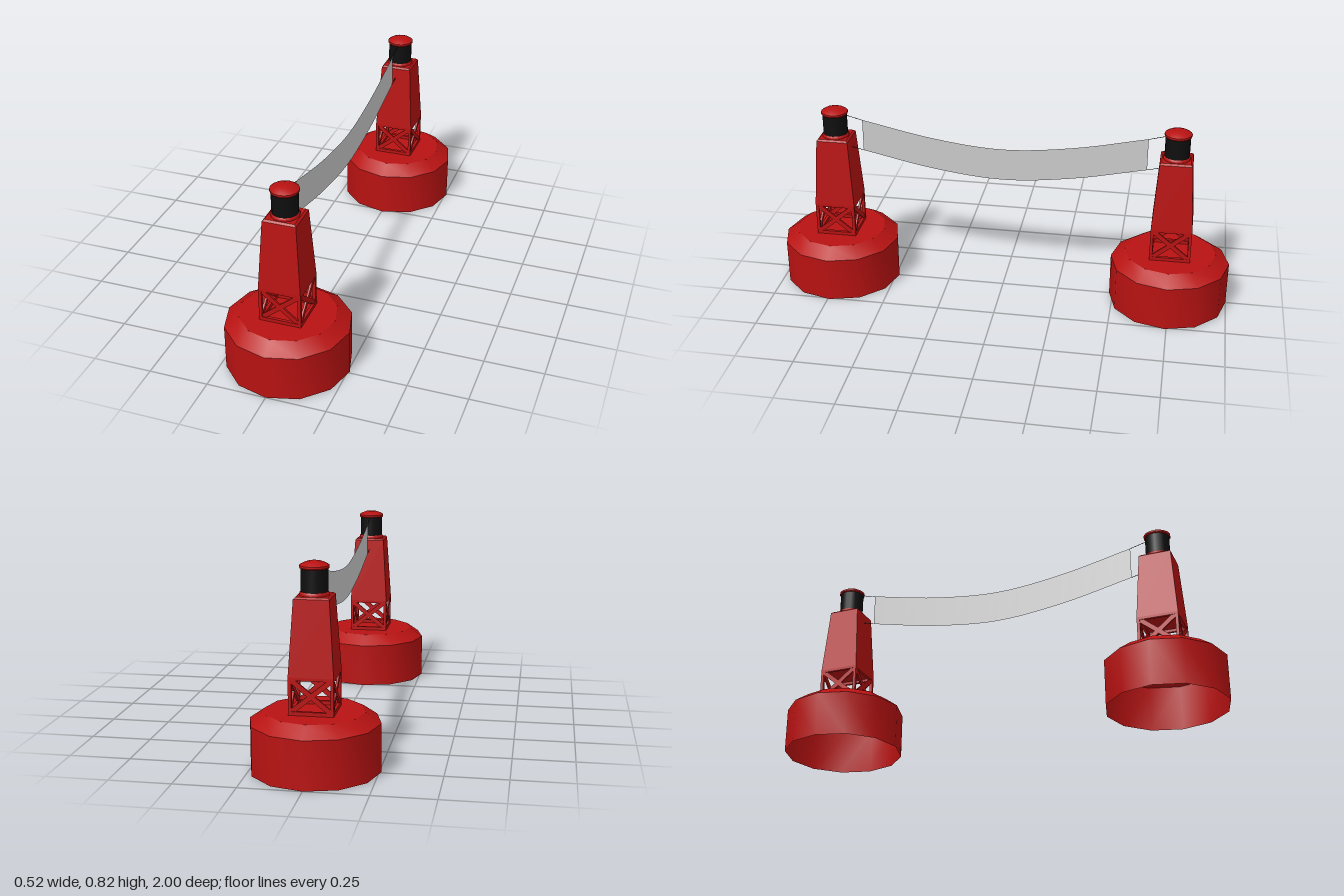
import * as THREE from 'three';
import { toCreasedNormals } from 'three/addons/utils/BufferGeometryUtils.js';

const red = new THREE.MeshStandardMaterial({ color: 0xb81212, side: THREE.DoubleSide });
const redFlat = new THREE.MeshStandardMaterial({ color: 0xb81212, flatShading: true });
const black = new THREE.MeshStandardMaterial({ color: 0x0e0e0e });
const grey = new THREE.MeshStandardMaterial({ color: 0xcccccc, side: THREE.DoubleSide });

function add(parent, name, geometry, material) {
  const mesh = new THREE.Mesh(geometry, material);
  mesh.name = name;
  parent.add(mesh);
  return mesh;
}

// Turned part: smooth around, sharp between profile segments
function turned(points, sides) {
  const profile = points.map(([r, y]) => new THREE.Vector2(r, y));
  return toCreasedNormals(new THREE.LatheGeometry(profile, sides), 0.6);
}

// Square frustum given by half widths and heights
function squareFrustum(bottom, top, y0, y1) {
  const g = new THREE.CylinderGeometry(top * Math.SQRT2, bottom * Math.SQRT2, y1 - y0, 4);
  return g.rotateY(Math.PI / 4).translate(0, (y0 + y1) / 2, 0);
}

function box(w, h, d, x, y, z) {
  return new THREE.BoxGeometry(w, h, d).translate(x, y, z);
}

function createBuoy() {
  const buoy = new THREE.Group();
  buoy.name = 'buoy';

  // Float, open underneath
  add(buoy, 'float', turned([[0.258, 0], [0.258, 0.195], [0.198, 0.237], [0, 0.237]], 12), red);

  // Open lattice: four identical sides
  const half = 0.088, post = 0.013, y0 = 0.237, y1 = 0.385;
  const inner = half - post, mid = 0.312, rise = 0.061;
  for (let i = 0; i < 4; i++) {
    const side = new THREE.Group();
    side.name = 'latticeSide';
    side.rotation.y = i * Math.PI / 2;
    const z = half - post / 2;
    add(side, 'post', box(post, y1 - y0, post, half - post / 2, (y0 + y1) / 2, z), redFlat);
    add(side, 'bottomRail', box(2 * inner, 0.015, post, 0, 0.2445, z), redFlat);
    add(side, 'topRail', box(2 * inner, 0.012, post, 0, 0.379, z), redFlat);
    for (const s of [-1, 1]) {
      const brace = add(side, 'brace', box(2 * Math.hypot(inner, rise), 0.02, 0.008, 0, 0, 0), redFlat);
      brace.position.set(0, mid, z);
      brace.rotation.z = s * Math.atan2(rise, inner);
    }
    buoy.add(side);
  }

  // Tapered tower with a bevelled top
  add(buoy, 'tower', squareFrustum(half, 0.069, y1, 0.682), redFlat);
  add(buoy, 'towerTop', squareFrustum(0.069, 0.061, 0.682, 0.689), redFlat);

  // Lantern: collar, dark drum and cap
  add(buoy, 'collar', turned([[0.058, 0.687], [0.058, 0.696], [0.054, 0.702], [0, 0.702]], 16), red);
  add(buoy, 'lantern', new THREE.CylinderGeometry(0.053, 0.053, 0.09, 16).translate(0, 0.746, 0), black);
  add(buoy, 'cap', turned([[0, 0.79], [0.055, 0.79], [0.058, 0.794], [0.058, 0.802],
    [0.045, 0.81], [0.026, 0.817], [0, 0.817]], 16), red);
  return buoy;
}

// Sagging strip hung between the two buoys
const bannerHeight = 0.144, bannerHalf = 0.62;
function bannerGeometry() {
  const top = new THREE.CatmullRomCurve3(
    [[-0.62, 0.767], [-0.3, 0.701], [0, 0.672], [0.3, 0.701], [0.62, 0.767]]
      .map(([z, y]) => new THREE.Vector3(0, y, z)));
  const steps = 24;
  const g = new THREE.PlaneGeometry(1, 1, steps, 1);
  const pos = g.attributes.position;
  for (let i = 0; i < pos.count; i++) {
    const p = top.getPoint(pos.getX(i) + 0.5);
    pos.setXYZ(i, 0, p.y - (pos.getY(i) < 0 ? bannerHeight : 0), p.z);
  }
  g.computeVertexNormals();
  return g;
}

export function createModel() {
  const model = new THREE.Group();
  model.name = 'buoyPair';

  for (const s of [-1, 1]) {
    const buoy = createBuoy();
    buoy.position.z = s * 0.742;
    model.add(buoy);

    // Thin ropes from the banner corners to the buoy
    for (const [y, endZ, endY] of [[0.766, 0.692, 0.785], [0.624, 0.675, 0.637]]) {
      const path = new THREE.LineCurve3(
        new THREE.Vector3(0, y, s * bannerHalf), new THREE.Vector3(0, endY, s * endZ));
      add(model, 'rope', new THREE.TubeGeometry(path, 1, 0.0012, 5), black);
    }
  }
  add(model, 'banner', bannerGeometry(), grey);
  return model;
}
